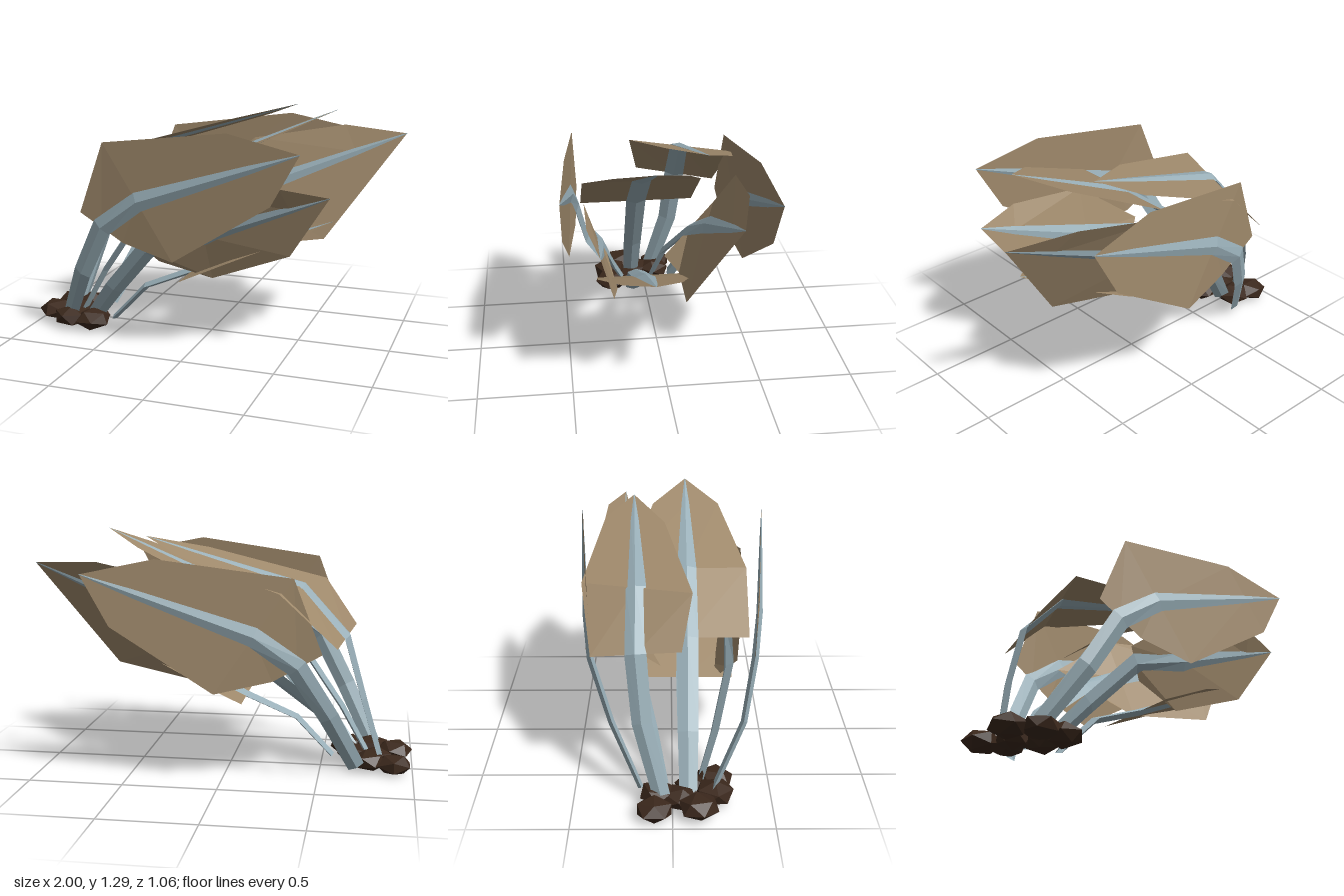
import * as THREE from 'three';

const V = (p) => new THREE.Vector3(...p);

const mat = (name, color, side = THREE.FrontSide) => {
  const m = new THREE.MeshStandardMaterial({ color, side, flatShading: true });
  m.name = name;
  return m;
};

// rib: root, knee, blade base, blade middle, tip.
// base and middle: half-width vectors of the blade at those two stations.
// shoulder: width there relative to the middle; shift moves the shoulder edges.
const LEAVES = [
  { name: 'topLeaf', base: [0, 0, 0.32], middle: [0, 0, 0.32],
    rib: [[-0.76, 0.05, 0.08], [-0.61, 0.32, 0.08], [-0.34, 0.72, 0.08], [0, 0.98, 0.08], [0.7, 1.29, 0.08]] },
  { name: 'upperBackLeaf', base: [-0.04, 0.03, 0.225], middle: [-0.1, 0.01, 0.28],
    rib: [[-0.83, 0.06, -0.05], [-0.73, 0.43, -0.15], [-0.64, 0.76, -0.18], [-0.41, 1.02, -0.18], [0.42, 1.27, -0.21]] },
  { name: 'longBackLeaf', base: [0.07, -0.13, 0.15], middle: [-0.02, -0.29, 0.145], shoulder: 1, shift: [-0.1, -0.16, 0.05],
    rib: [[-0.7, 0.06, -0.05], [-0.54, 0.3, -0.11], [-0.2, 0.59, -0.21], [0.1, 0.75, -0.26], [1, 1.13, -0.28]] },
  { name: 'outerFrontLeaf', base: [-0.125, 0.07, -0.01], middle: [-0.2, 0.295, -0.025],
    rib: [[-0.78, 0.08, 0.2], [-0.62, 0.38, 0.36], [-0.47, 0.66, 0.42], [-0.25, 0.82, 0.455], [0.62, 1.13, 0.53]] },
  { name: 'lowerFrontLeaf', base: [0.06, -0.065, -0.04], middle: [0.02, -0.25, -0.085], shoulder: 0.75, shift: [-0.03, -0.07, 0],
    rib: [[-0.66, 0.06, 0.14], [-0.5, 0.26, 0.22], [-0.27, 0.52, 0.3], [0.06, 0.63, 0.31], [0.73, 0.89, 0.35]] },
  { name: 'bottomLeaf', base: [0, 0, 0.25], middle: [0, 0, 0.26],
    rib: [[-0.56, 0.04, 0.08], [-0.36, 0.25, 0.08], [-0.08, 0.37, 0.08], [0.19, 0.5, 0.08], [0.69, 0.706, 0.08]] },
];

// Rib points and half-width vectors at six stations from root to tip
function stations({ rib, base, middle, shoulder = 0.58 }) {
  const [root, knee, start, mid, tip] = rib.map(V);
  const b = V(base), m = V(middle);
  const s = m.clone().multiplyScalar(shoulder);
  return {
    points: [root, knee, start, mid, mid.clone().lerp(tip, 0.7), tip],
    halves: [b, b, b, m, s, s],
  };
}

function fromTriangles(points, index) {
  const g = new THREE.BufferGeometry().setFromPoints(points).setIndex(index).toNonIndexed();
  g.computeVertexNormals();
  return g;
}

// Two faceted halves meeting along the rib
function bladeGeometry({ points, halves }, shift = [0, 0, 0]) {
  const verts = [], index = [];
  for (let i = 2; i < 5; i++) {
    const centre = points[i].clone();
    if (i === 4) centre.add(V(shift));
    verts.push(centre.clone().add(halves[i]), points[i], centre.clone().sub(halves[i]));
  }
  verts.push(points[5]);
  for (const p of [0, 1, 3, 4]) index.push(p, p + 3, p + 1, p + 1, p + 3, p + 4);
  index.push(6, 9, 7, 7, 9, 8);
  return fromTriangles(verts, index);
}

// Flattened four-sided stalk that tapers into the blade
function stalkGeometry({ points, halves }) {
  const widths = [0.045, 0.052, 0.056, 0.052, 0.022, 0.002];
  const verts = [], index = [];
  points.forEach((p, i) => {
    const tangent = points[Math.min(i + 1, 5)].clone().sub(points[Math.max(i - 1, 0)]).normalize();
    const side = halves[i].clone().projectOnPlane(tangent).normalize();
    const normal = tangent.clone().cross(side);
    for (let j = 0; j < 4; j++) {
      const angle = (j * Math.PI) / 2;
      verts.push(p.clone()
        .addScaledVector(side, widths[i] * Math.cos(angle))
        .addScaledVector(normal, 0.32 * widths[i] * Math.sin(angle)));
    }
  });
  for (let i = 0; i < 5; i++) {
    for (let j = 0; j < 4; j++) {
      const p = i * 4 + j, q = i * 4 + ((j + 1) % 4);
      index.push(p, q, p + 4, q, q + 4, p + 4);
    }
  }
  return fromTriangles(verts, index);
}

export function createModel() {
  const model = new THREE.Group();
  model.name = 'plant';
  const leafMat = mat('dryLeaf', 0xa08a6c, THREE.DoubleSide);
  const stalkMat = mat('paleBlueStalk', 0x99afb8, THREE.DoubleSide);
  const soilMat = mat('darkSoil', 0x3b281c);

  // The outer back leaf mirrors the outer front blade on its own straighter stalk
  const front = LEAVES.find((leaf) => leaf.name === 'outerFrontLeaf');
  const flip = ([x, y, z]) => [x, y, -z];
  const back = {
    name: 'outerBackLeaf', base: flip(front.base), middle: flip(front.middle),
    rib: [[-0.7, 0.05, -0.16], [-0.56, 0.35, -0.31],
      ...front.rib.slice(2).map(([x, y, z]) => [x + 0.07, y - 0.03, -z])],
  };

  for (const leaf of [...LEAVES, back]) {
    const group = new THREE.Group();
    group.name = leaf.name;
    const layout = stations(leaf);
    const blade = new THREE.Mesh(bladeGeometry(layout, leaf.shift), leafMat);
    blade.name = 'blade';
    const stalk = new THREE.Mesh(stalkGeometry(layout), stalkMat);
    stalk.name = 'stalk';
    group.add(blade, stalk);
    model.add(group);
  }

  // Flattened clods around the roots: x, z, radius
  const clods = [[-0.9, -0.09, 0.095], [-0.77, -0.07, 0.095], [-0.9, 0.13, 0.1], [-0.8, 0.03, 0.09],
    [-0.77, 0.21, 0.1], [-0.64, 0.21, 0.1], [-0.68, 0.1, 0.09]];
  const soil = new THREE.Group();
  soil.name = 'soil';
  clods.forEach(([x, z, r], i) => {
    const g = new THREE.IcosahedronGeometry(r, 0);
    g.rotateX(i * 1.3).rotateY(i * 0.9).scale(1.05, 0.6, 1.05).computeBoundingBox();
    g.translate(x, -g.boundingBox.min.y + (i % 3) * 0.006, z);
    const clod = new THREE.Mesh(g, soilMat);
    clod.name = 'clod';
    soil.add(clod);
  });
  model.add(soil);
  return model;
}
